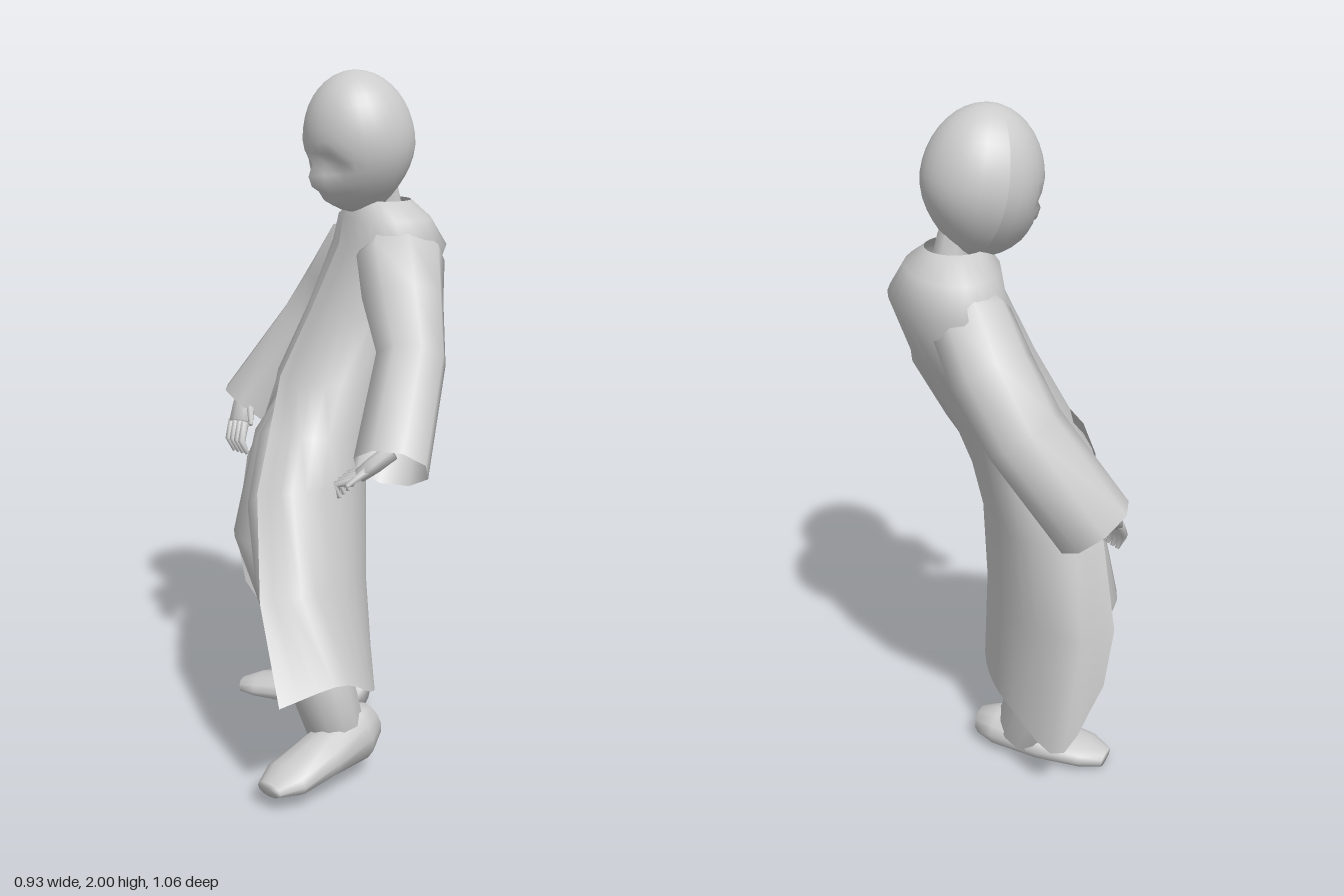
import * as THREE from 'three';

const mat = new THREE.MeshStandardMaterial({ color: 0xcccccc, side: THREE.DoubleSide });
const V = (x, y, z) => new THREE.Vector3(x, y, z);
const UP = V(0, 1, 0);
const LEFT = V(1, 0, 1).normalize();   // the body is turned 45 degrees
const FRONT = V(-1, 0, 1).normalize();

// Skin over rows of points; wrap joins the last column to the first
function skin(name, rows, wrap) {
  const n = rows[0].length, cols = wrap ? n : n - 1, index = [];
  for (let i = 0; i < rows.length - 1; i++) {
    for (let j = 0; j < cols; j++) {
      const k = (j + 1) % n, a = i * n + j, b = i * n + k;
      index.push(a, b, a + n, b, b + n, a + n);
    }
  }
  const geo = new THREE.BufferGeometry().setFromPoints(rows.flat());
  geo.setIndex(index);
  geo.computeVertexNormals();
  const mesh = new THREE.Mesh(geo, mat);
  mesh.name = name;
  return mesh;
}

// Limb from rings [x, y, z, width, depth]; ref fixes the depth direction
function limb(name, rings, { ref = FRONT, sides = 8, capped = false } = {}) {
  const c = rings.map(r => V(r[0], r[1], r[2]));
  const rows = rings.map((r, i) => {
    const t = c[Math.min(i + 1, c.length - 1)].clone().sub(c[Math.max(i - 1, 0)]).normalize();
    const s = t.clone().cross(ref).normalize();
    const n = t.clone().cross(s);
    return Array.from({ length: sides }, (_, j) => {
      const a = j / sides * Math.PI * 2;
      return c[i].clone().addScaledVector(s, r[3] * Math.cos(a)).addScaledVector(n, r[4] * Math.sin(a));
    });
  });
  if (capped) {
    rows.unshift(rows[0].map(() => c[0].clone()));
    rows.push(rows[0].map(() => c[c.length - 1].clone()));
  }
  return skin(name, rows, true);
}

// Coat row around the torso, from centre front by the left side and back
function torsoRow(x, y, z, w, d) {
  return Array.from({ length: 13 }, (_, i) => {
    const a = i / 12 * Math.PI * 2;
    return V(x, y, z).addScaledVector(LEFT, w * Math.sin(a)).addScaledVector(FRONT, d * Math.cos(a));
  });
}

function coat() {
  // Skirt rows, open in front, from the left front edge round the back
  const skirt = [
    [[-.05, .97, .14], [.07, .97, .14], [.16, .96, .01], [.155, .95, -.15], [.045, .95, -.28], [-.11, .95, -.33], [-.21, .95, -.25], [-.2, .95, -.1]],
    [[-.03, .82, .25], [.09, .83, .23], [.17, .82, .06], [.14, .8, -.12], [.03, .8, -.25], [-.12, .8, -.32], [-.26, .8, -.28], [-.3, .8, -.17]],
    [[.06, .55, .4], [.18, .57, .34], [.23, .55, .15], [.18, .52, -.04], [.06, .52, -.2], [-.12, .52, -.3], [-.3, .52, -.31], [-.36, .52, -.2]],
    [[.18, .3, .51], [.3, .34, .37], [.31, .26, .2], [.22, .19, -.01], [.07, .21, -.2], [-.08, .21, -.31], [-.27, .15, -.36], [-.35, .35, -.24]],
  ].map(row => row.map(p => V(...p)));
  const rows = [
    torsoRow(.11, 1.62, -.28, .09, .085),
    torsoRow(.11, 1.57, -.295, .19, .13),
    torsoRow(.12, 1.49, -.31, .235, .16),
    torsoRow(.07, 1.3, -.25, .2, .17),
    torsoRow(.01, 1.1, -.16, .2, .17),
    ...skirt,
  ];
  return skin('coat', rows.map(p => new THREE.CatmullRomCurve3(p).getPoints(24)).reverse(), false);
}

// Head: a sphere narrowed to the chin, with nose, eye hollows and mouth
function head() {
  const geo = new THREE.SphereGeometry(1, 28, 20);
  const p = geo.attributes.position;
  const bump = (x, y, cx, cy, w, h) => Math.exp(-(((x - cx) / w) ** 2) - ((y - cy) / h) ** 2);
  for (let i = 0; i < p.count; i++) {
    let x = p.getX(i), y = p.getY(i), z = p.getZ(i);
    const low = Math.max(0, -y), face = z > 0 ? 1 : 0;
    const dz = face * (.2 * bump(x, y, 0, -.38, .13, .14) + .07 * bump(x, y, 0, -.68, .22, .07)
      - .17 * bump(Math.abs(x), y, .38, -.18, .22, .13));
    x *= 1 - .25 * low * low;
    z *= face ? 1 + .25 * low * low : 1 - .4 * low * low;
    p.setXYZ(i, x * .163, y * .208, (z + dz) * .168);
  }
  geo.computeVertexNormals();
  const mesh = new THREE.Mesh(geo, mat);
  mesh.name = 'head';
  mesh.position.set(.06, 1.792, -.22);
  mesh.rotation.set(.18, -.55, 0, 'YXZ');
  return mesh;
}

// Hand: palm, four curled fingers and a thumb along wrist, knuckle, bend, tip
function hand(name, [wrist, knuckle, bend, tip], spread) {
  const g = new THREE.Group();
  g.name = name;
  const ring = (p, w, d) => [p.x, p.y, p.z, w, d];
  const ref = knuckle.clone().sub(wrist).cross(spread).normalize();
  const mid = wrist.clone().lerp(knuckle, .55);
  g.add(limb('palm', [ring(wrist, .03, .025), ring(mid, .042, .025), ring(knuckle, .04, .02)],
    { ref, capped: true }));
  for (let i = 0; i < 4; i++) {
    const off = spread.clone().multiplyScalar((i - 1.5) * .021);
    const at = (p, r) => ring(p.clone().add(off), r, r);
    g.add(limb('finger', [at(knuckle, .013), at(bend, .012), at(tip, .007)], { ref, sides: 6, capped: true }));
  }
  const t1 = mid.clone().addScaledVector(spread, .035);
  const t2 = knuckle.clone().addScaledVector(spread, .06);
  g.add(limb('thumb', [ring(mid, .014, .014), ring(t1, .014, .014), ring(t2, .007, .007)],
    { ref, sides: 6, capped: true }));
  return g;
}

export function createModel() {
  const model = new THREE.Group();
  model.name = 'robedFigure';
  model.add(coat(), head());
  model.add(limb('neck', [[.12, 1.55, -.3, .055, .055], [.11, 1.64, -.28, .05, .05], [.09, 1.74, -.25, .05, .05]]));

  // Wide sleeves, open at the cuff
  model.add(limb('rightSleeve', [
    [.06, 1.5, -.34, .07, .08], [-.01, 1.46, -.385, .1, .115], [-.09, 1.34, -.41, .1, .12],
    [-.2, 1.19, -.42, .09, .115], [-.37, .92, -.335, .11, .115]]));
  model.add(limb('leftSleeve', [
    [.16, 1.51, -.25, .08, .08], [.215, 1.46, -.185, .1, .135], [.255, 1.35, -.115, .11, .125],
    [.31, 1.19, -.055, .1, .105], [.355, .925, .175, .11, .11]]));

  // Hands
  model.add(hand('rightHand',
    [V(-.37, 1, -.31), V(-.365, .89, -.23), V(-.355, .84, -.19), V(-.34, .8, -.2)],
    V(.8, 0, .3).normalize()));
  model.add(hand('leftHand',
    [V(.35, .97, .16), V(.27, .9, .2), V(.22, .885, .2), V(.235, .85, .21)],
    V(-.2, -.3, .9).normalize()));

  // Trouser legs in mid stride
  model.add(limb('rightTrouserLeg', [
    [-.03, 1.05, -.15, .1, .1], [-.13, .87, -.13, .12, .11], [-.21, .57, -.14, .12, .11],
    [-.13, .3, -.165, .13, .095], [-.035, .06, -.19, .105, .08]], { sides: 12, capped: true }));
  model.add(limb('leftTrouserLeg', [
    [0, 1.08, -.15, .12, .11], [-.05, .9, .01, .125, .1], [-.02, .75, .125, .115, .1], [.06, .57, .22, .11, .105],
    [.16, .33, .25, .105, .1], [.225, .15, .25, .085, .085]], { sides: 12, capped: true }));

  // Shoes from heel to toe
  model.add(limb('rightShoe', [
    [.1, .05, -.2, .05, .045], [.03, .06, -.2, .08, .06], [-.12, .05, -.18, .09, .05],
    [-.25, .04, -.16, .075, .035], [-.31, .03, -.15, .04, .022]], { ref: UP, sides: 12, capped: true }));
  model.add(limb('leftShoe', [
    [.28, .15, .15, .05, .06], [.265, .13, .21, .075, .09], [.22, .1, .34, .08, .065],
    [.175, .07, .46, .08, .045], [.155, .06, .525, .045, .022]], { ref: UP, sides: 12, capped: true }));
  return model;
}
